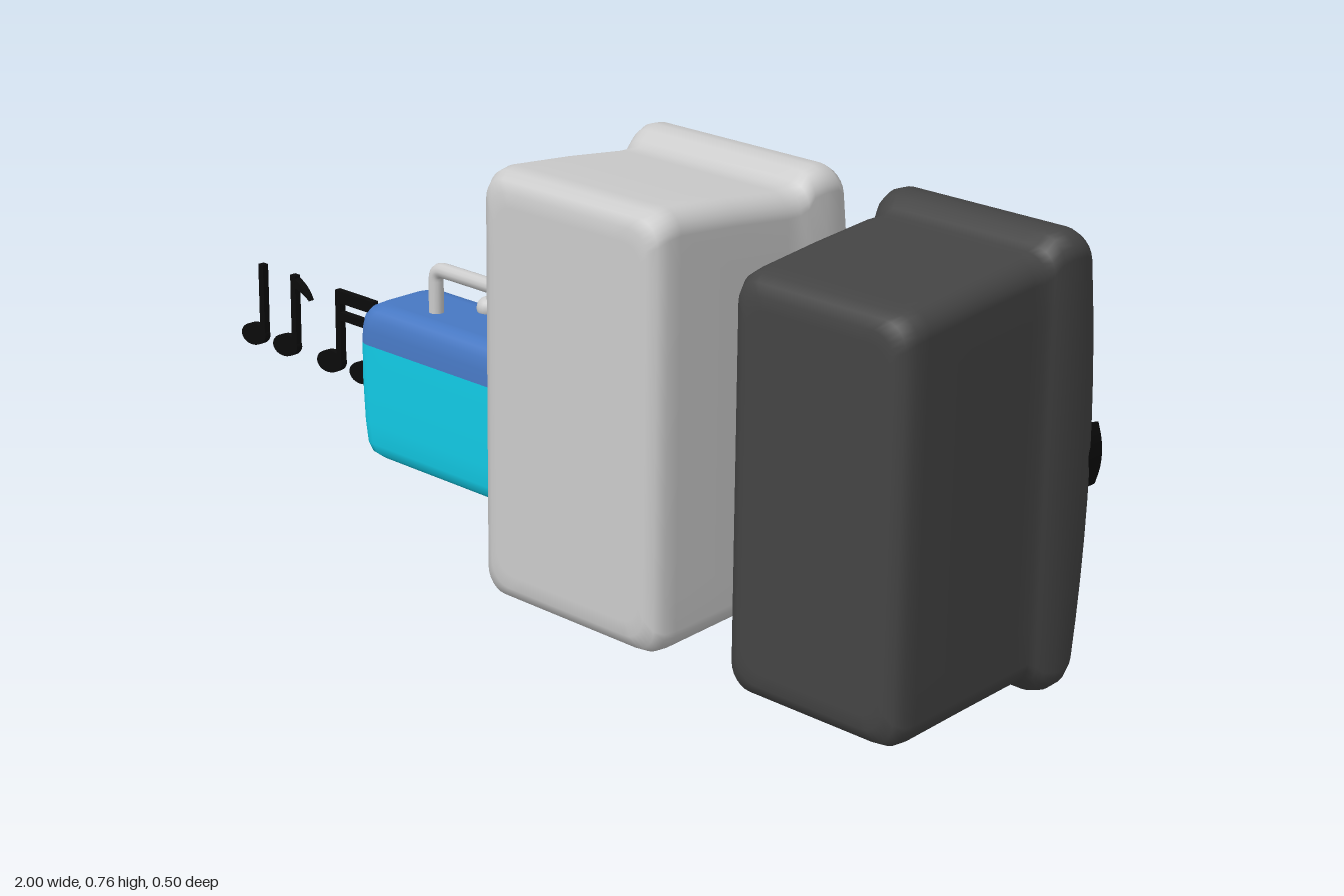
import * as THREE from 'three';
import { RoundedBoxGeometry } from 'three/addons/geometries/RoundedBoxGeometry.js';

const mat = (color) => new THREE.MeshStandardMaterial({ color });
const grey = mat(0xcccccc), dark = mat(0x444444), black = mat(0x0b0b0b);
const blue = mat(0x4778c3), teal = mat(0x12cbe6);

function add(parent, name, geometry, material, x = 0, y = 0, z = 0) {
  const mesh = new THREE.Mesh(geometry, material);
  mesh.name = name;
  mesh.position.set(x, y, z);
  parent.add(mesh);
  return mesh;
}

// Outline of a rounded rectangle, counter-clockwise, with subdivided straight sides
function roundedRect(hw, hh, r) {
  const pts = [], arc = 6, side = 10;
  const corners = [[1, -1], [1, 1], [-1, 1], [-1, -1]];
  const at = (k, i) => {
    const [sx, sy] = corners[k % 4], a = (k - 1 + i / arc) * Math.PI / 2;
    return [sx * (hw - r) + r * Math.cos(a), sy * (hh - r) + r * Math.sin(a)];
  };
  for (let k = 0; k < 4; k++) {
    for (let i = 0; i <= arc; i++) pts.push(at(k, i));
    const p = at(k, arc), q = at(k + 1, 0);
    for (let i = 1; i < side; i++) {
      const t = i / side;
      pts.push([p[0] + (q[0] - p[0]) * t, p[1] + (q[1] - p[1]) * t]);
    }
  }
  return pts;
}

// Skin over rounded rectangles { w, hw, y0, y1, r, s, bulge } stacked along +z
function loft(rings) {
  const pos = [], index = [];
  let n = 0;
  rings.forEach(({ w, hw, y0, y1, r = 0.04, s = 1, bulge = 0 }, j) => {
    const cy = (y0 + y1) / 2, hh = (y1 - y0) / 2;
    const pts = roundedRect(hw, hh, r);
    n = pts.length;
    pts.forEach(([x, y], i) => {
      pos.push(x * s, cy + y * s, w - bulge * (1 - (y * s / hh) ** 2));
      if (j === 0) return;
      const a = (j - 1) * n + i, b = (j - 1) * n + (i + 1) % n;
      index.push(a, b, b + n, a, b + n, a + n);
    });
  });
  const g = new THREE.BufferGeometry();
  g.setAttribute('position', new THREE.Float32BufferAttribute(pos, 3));
  g.setIndex(index);
  g.computeVertexNormals();
  return g;
}

// Dished driver turned around its axis, facing -z
function driver(r, depth) {
  const profile = [[1, -0.5], [1, 0.25], [0.95, 0.5], [0.85, 0.75], [0.74, 0.95], [0.68, 1], [0.63, 0.92],
    [0.6, 0.75], [0.5, 0.62], [0.36, 0.5], [0.32, 0.62], [0.2, 0.75], [0, 0.8]]
    .map(([a, b]) => new THREE.Vector2(a * r, b * depth));
  return new THREE.LatheGeometry(profile, 48).rotateX(-Math.PI / 2);
}

function speaker(name, x, hw, cabHw, backTop, backZ, material) {
  const g = new THREE.Group();
  g.name = name;
  g.position.x = x;
  const face = { w: -0.183, hw: hw - 0.018, y0: 0.025, y1: 0.737, bulge: 0.032 };
  const midTop = (0.735 + backTop) / 2;
  add(g, 'cabinet', loft([
    ...[0, 0.25, 0.5, 0.75, 0.95, 1].map((s) => ({ ...face, s })),
    { w: -0.172, hw: hw - 0.006, y0: 0.011, y1: 0.751, bulge: 0.028 },
    { w: -0.155, hw, y0: 0.004, y1: 0.76, bulge: 0.02 },
    { w: -0.13, hw, y0: 0.002, y1: 0.762, bulge: 0.005 },
    { w: -0.108, hw: hw - 0.005, y0: 0.007, y1: 0.756 },
    { w: -0.094, hw: cabHw + 0.005, y0: 0.02, y1: 0.74 },
    { w: -0.08, hw: cabHw, y0: 0.027, y1: 0.732 },
    { w: -0.05, hw: cabHw, y0: 0.026, y1: 0.732 },
    { w: 0.07, hw: cabHw, y0: 0.02, y1: midTop },
    { w: backZ - 0.05, hw: cabHw, y0: 0.013, y1: backTop },
    { w: backZ - 0.025, hw: cabHw - 0.002, y0: 0.014, y1: backTop - 0.004 },
    { w: backZ - 0.008, hw: cabHw - 0.01, y0: 0.022, y1: backTop - 0.014 },
    { w: backZ, hw: cabHw - 0.027, y0: 0.04, y1: backTop - 0.032 },
    ...[0.93, 0.4, 0].map((s) => ({ w: backZ, hw: cabHw - 0.027, y0: 0.04, y1: backTop - 0.032, s })),
  ]), material);

  // Two woofers follow the bowed front
  for (const side of [1, -1]) {
    const woofer = add(g, side > 0 ? 'upperWoofer' : 'lowerWoofer', driver(0.164, 0.035), black, 0, 0.381 + side * 0.182, -0.204);
    woofer.rotation.x = side * 0.09;
  }

  // Wedge-shaped ports between the woofers
  const wedge = new THREE.Shape();
  wedge.moveTo(0.09, -0.012);
  wedge.lineTo(hw - 0.02, -0.042);
  wedge.quadraticCurveTo(hw - 0.005, 0, hw - 0.02, 0.042);
  wedge.lineTo(0.09, 0.012);
  wedge.quadraticCurveTo(0.08, 0, 0.09, -0.012);
  const wedgeGeo = new THREE.ExtrudeGeometry(wedge, {
    depth: 0.04, bevelThickness: 0.008, bevelSize: 0.008, bevelSegments: 3, curveSegments: 8,
  });
  for (const side of [1, -1]) add(g, 'port', wedgeGeo, black, 0, 0.382, -0.226).scale.x = side;
  return g;
}

function boombox() {
  const g = new THREE.Group();
  g.name = 'boombox';
  g.position.x = -0.2825;
  // Body rings run upwards: height, half width, inset of front and back
  const ring = ([w, hw, inset], s = 1) => ({ w, hw, y0: 0.002 + inset, y1: 0.192 - inset, r: 0.035, s });
  const lower = [[0.03, 0.2, 0.035], [0.033, 0.217, 0.02], [0.043, 0.229, 0.009], [0.06, 0.235, 0.004],
    [0.1, 0.238, 0.001], [0.18, 0.242, 0], [0.252, 0.242, 0]];
  const upper = [[0.252, 0.242, 0], [0.28, 0.241, 0.001], [0.302, 0.237, 0.004], [0.316, 0.228, 0.012],
    [0.323, 0.215, 0.023], [0.325, 0.2, 0.037]];
  const cap = upper[upper.length - 1];
  add(g, 'lowerBody', loft([ring(lower[0], 0), ring(lower[0], 0.9), ...lower.map((p) => ring(p))]).rotateX(-Math.PI / 2), teal);
  add(g, 'upperBody', loft([...upper.map((p) => ring(p)), ring(cap, 0.9), ring(cap, 0)]).rotateX(-Math.PI / 2), blue);

  // Carry handle
  const path = new THREE.CurvePath();
  const v = (x, y) => new THREE.Vector3(x, y, -0.075);
  path.add(new THREE.LineCurve3(v(-0.098, 0.31), v(-0.098, 0.385)));
  path.add(new THREE.QuadraticBezierCurve3(v(-0.098, 0.385), v(-0.098, 0.408), v(-0.075, 0.408)));
  path.add(new THREE.LineCurve3(v(-0.075, 0.408), v(0.075, 0.408)));
  path.add(new THREE.QuadraticBezierCurve3(v(0.075, 0.408), v(0.098, 0.408), v(0.098, 0.385)));
  path.add(new THREE.LineCurve3(v(0.098, 0.385), v(0.098, 0.31)));
  add(g, 'handle', new THREE.TubeGeometry(path, 80, 0.014, 12), grey);

  // Paired knobs and drivers
  for (const side of [1, -1]) {
    add(g, 'topKnob', new THREE.SphereGeometry(0.021, 20, 14), grey, side * 0.036, 0.332, -0.145);
    add(g, 'frontKnob', new THREE.SphereGeometry(0.025, 20, 14), grey, side * 0.175, 0.283, -0.198).scale.z = 0.8;
    add(g, 'driver', driver(0.072, 0.018), black, side * 0.148, 0.157, -0.195);
  }
  // Tuning bar, cassette window and key rows
  add(g, 'tuningSlot', new RoundedBoxGeometry(0.29, 0.032, 0.012, 3, 0.005), dark, 0, 0.283, -0.191);
  add(g, 'tuningBar', new THREE.CapsuleGeometry(0.009, 0.25, 6, 12).rotateZ(Math.PI / 2), grey, 0, 0.283, -0.196);
  add(g, 'cassetteWindow', new RoundedBoxGeometry(0.115, 0.075, 0.025, 3, 0.01), black, 0, 0.2, -0.192);
  for (let i = 0; i < 4; i++) {
    add(g, 'keyRow', new RoundedBoxGeometry(0.125, 0.021, 0.022, 3, 0.006), grey, 0, 0.142 - i * 0.025, -0.193);
  }
  return g;
}

function musicNotes() {
  const g = new THREE.Group();
  g.name = 'musicNotes';
  g.position.z = -0.125;
  const t = 0.013;
  for (const x of [-0.964, -0.868, -0.736, -0.641]) {
    const head = add(g, 'noteHead', new THREE.CylinderGeometry(1, 1, t, 28).rotateX(Math.PI / 2), black, x, 0.131, 0);
    head.scale.set(0.037, 0.022, 1);
    head.rotation.z = 0.2;
    add(g, 'noteStem', new THREE.BoxGeometry(0.014, 0.145, t), black, x + 0.028, 0.207, 0);
  }
  // Flag on the second note, double beam on the last pair
  const flag = new THREE.Shape();
  flag.moveTo(-0.847, 0.279);
  flag.quadraticCurveTo(-0.808, 0.268, -0.793, 0.238);
  flag.quadraticCurveTo(-0.815, 0.255, -0.847, 0.256);
  add(g, 'noteFlag', new THREE.ExtrudeGeometry(flag, { depth: t, bevelEnabled: false }), black, 0, 0, -t / 2);
  for (const [y, h] of [[0.268, 0.024], [0.23, 0.016]]) {
    add(g, 'noteBeam', new THREE.BoxGeometry(0.109, h, t), black, -0.6605, y, 0);
  }
  return g;
}

export function createModel() {
  const model = new THREE.Group();
  model.name = 'musicSet';
  model.add(
    speaker('greySpeaker', 0.285, 0.213, 0.203, 0.757, 0.248, grey),
    speaker('darkSpeaker', 0.806, 0.19, 0.175, 0.708, 0.24, dark),
    boombox(),
    musicNotes(),
  );
  return model;
}
